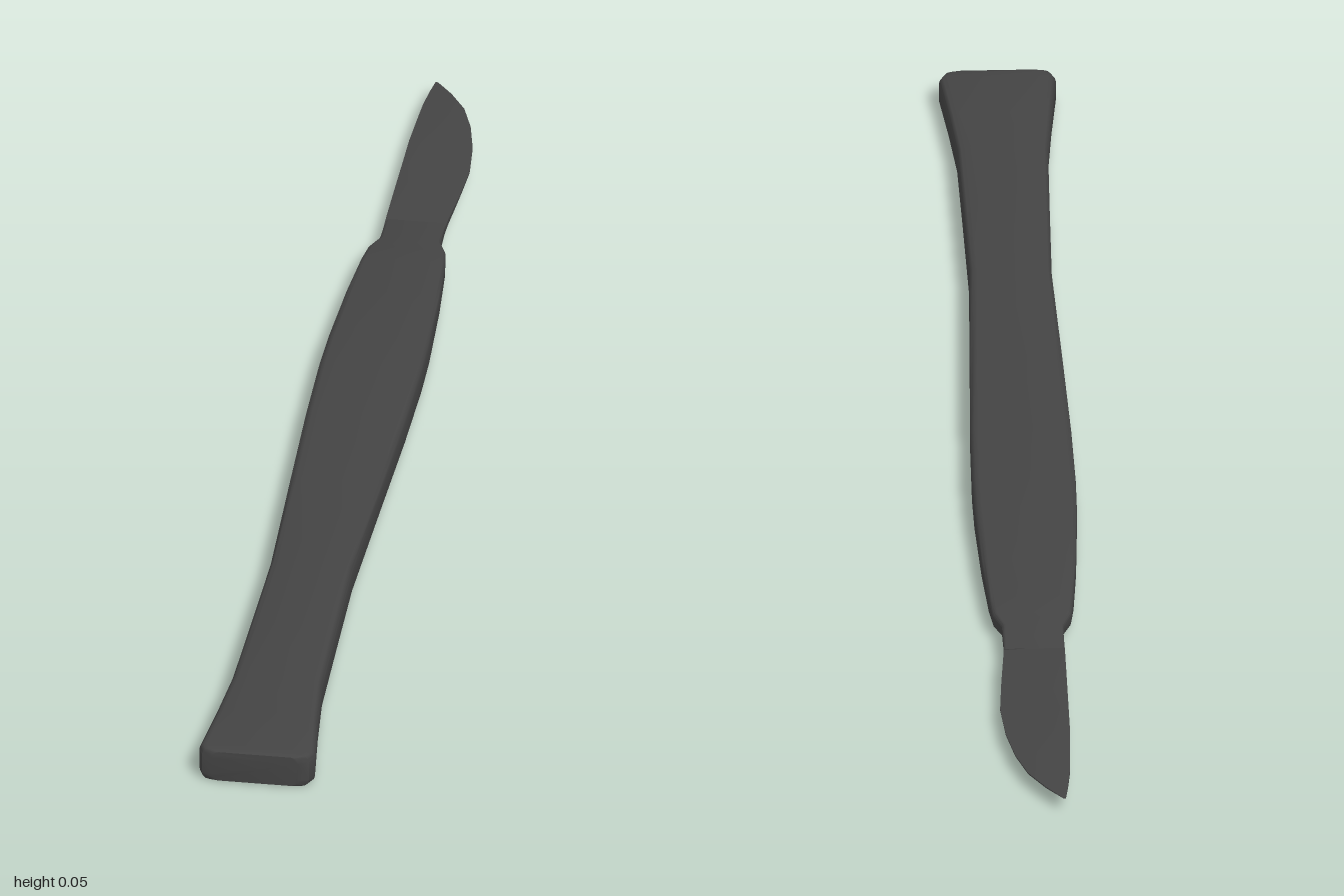
import * as THREE from 'three';
import { toCreasedNormals } from 'three/addons/utils/BufferGeometryUtils.js';

const MID = 0.026; // height of the long axis

// Skins cross-sections running from front (+z) to back (-z) and caps both ends.
// ring(section) returns [x, y] points, counter-clockwise seen from +z.
function loft(sections, ring) {
  const rings = sections.map(ring);
  const n = rings[0].length;
  const pos = [], idx = [];
  rings.forEach((r, i) => r.forEach(([x, y]) => pos.push(x, MID + y, sections[i][0])));
  for (let i = 0; i < rings.length - 1; i++) {
    for (let j = 0; j < n; j++) {
      const k = (j + 1) % n;
      const a = i * n + j, b = i * n + k, c = a + n, d = b + n;
      idx.push(a, c, b, b, c, d);
    }
  }
  const last = (rings.length - 1) * n;
  for (let j = 1; j < n - 1; j++) {
    idx.push(0, j, j + 1, last, last + j + 1, last + j);
  }
  const g = new THREE.BufferGeometry();
  g.setAttribute('position', new THREE.Float32BufferAttribute(pos, 3));
  g.setIndex(idx);
  return toCreasedNormals(g, 0.7);
}

// Rectangle with rounded corners, from [z, left x, right x, half height]
function roundedRing([, x0, x1, h]) {
  const r = Math.min(0.011, h * 0.45), pts = [];
  const corners = [[x1 - r, h - r], [x0 + r, h - r], [x0 + r, r - h], [x1 - r, r - h]];
  corners.forEach(([cx, cy], q) => {
    for (let s = 0; s <= 3; s++) {
      const a = (q + s / 3) * Math.PI / 2;
      pts.push([cx + r * Math.cos(a), cy + r * Math.sin(a)]);
    }
  });
  return pts;
}

// Blade section: blunt spine on -x, ground down to a fine edge on +x
function bladeRing([, x0, x1, h, edge]) {
  const xm = x0 + (x1 - x0) * 0.6;
  return [[x1, -edge], [x1, edge], [xm, h], [x0, h], [x0, -h], [xm, -h]];
}

export function createModel() {
  const group = new THREE.Group();
  const material = new THREE.MeshStandardMaterial({ color: 0x444444 });
  const add = (name, geometry) => {
    const mesh = new THREE.Mesh(geometry, material);
    mesh.name = name;
    group.add(mesh);
  };

  // Handle: flared butt, slim waist, swelling grip, tapered shoulder
  add('handle', loft([
    [1.0, -0.065, 0.063, 0.024],
    [0.994, -0.08, 0.078, 0.026],
    [0.98, -0.086, 0.085, 0.026],
    [0.88, -0.076, 0.074, 0.026],
    [0.78, -0.068, 0.065, 0.026],
    [0.62, -0.065, 0.062, 0.026],
    [0.44, -0.062, 0.059, 0.026],
    [0.2, -0.07, 0.066, 0.025],
    [0.0, -0.076, 0.072, 0.025],
    [-0.14, -0.078, 0.074, 0.025],
    [-0.22, -0.077, 0.073, 0.024],
    [-0.36, -0.071, 0.067, 0.02],
    [-0.46, -0.064, 0.06, 0.016],
    [-0.5, -0.059, 0.055, 0.013],
    [-0.53, -0.047, 0.043, 0.011],
    [-0.59, -0.046, 0.042, 0.006],
  ], roundedRing));

  // Blade: straight spine, bellied cutting edge curving to the point
  add('blade', loft([
    [-0.53, -0.046, 0.041, 0.006, 0.005],
    [-0.6, -0.047, 0.043, 0.006, 0.004],
    [-0.68, -0.047, 0.049, 0.006, 0.002],
    [-0.75, -0.047, 0.053, 0.005, 0.001],
    [-0.82, -0.047, 0.047, 0.005, 0.001],
    [-0.88, -0.045, 0.035, 0.004, 0.001],
    [-0.93, -0.043, 0.018, 0.003, 0.001],
    [-0.97, -0.039, -0.007, 0.002, 0.001],
    [-1.0, -0.035, -0.031, 0.001, 0.0005],
  ], bladeRing));

  return group;
}
